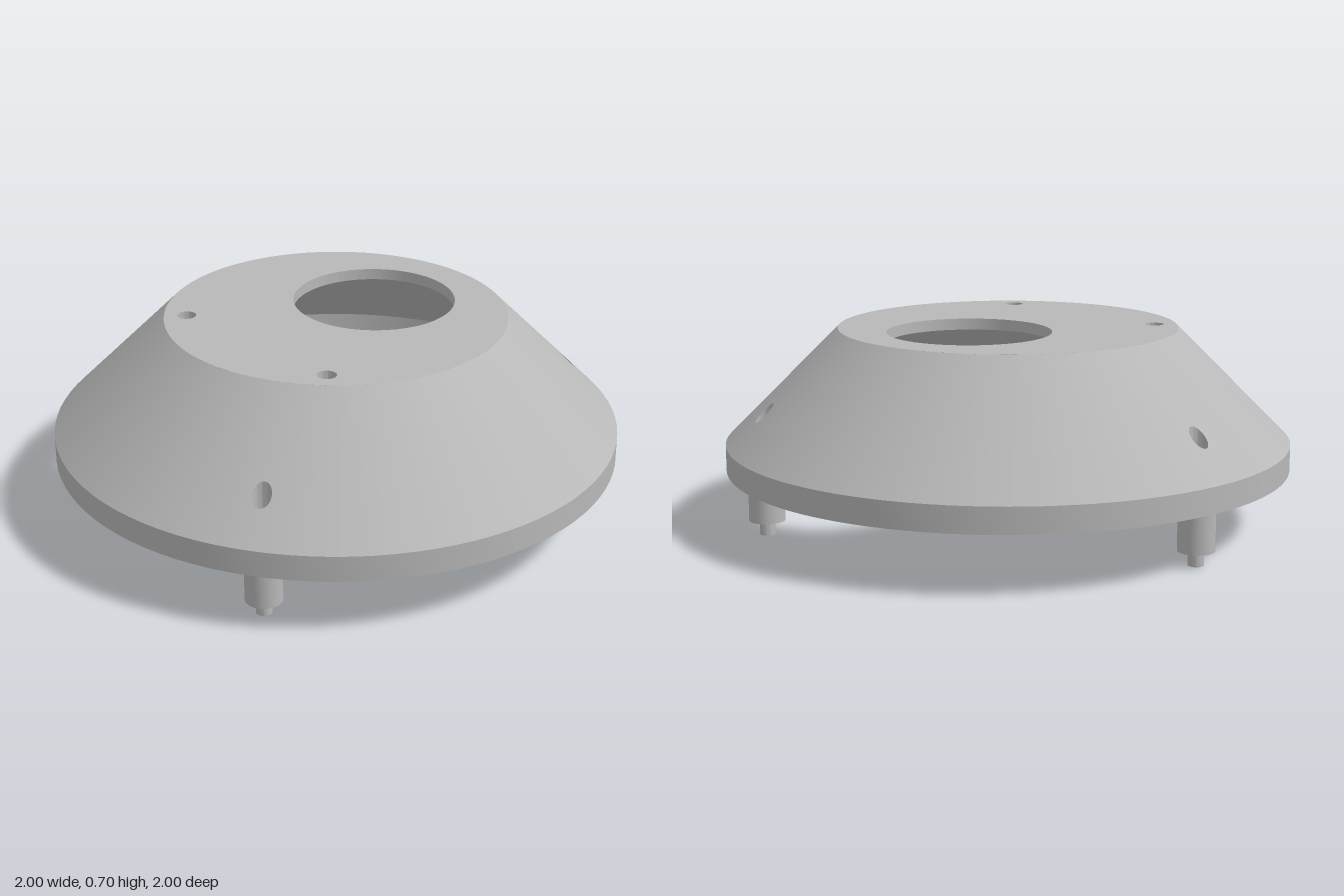
import * as THREE from 'three';
import { toCreasedNormals } from 'three/addons/utils/BufferGeometryUtils.js';

const SEG = 96, STEP = (Math.PI * 2) / SEG;
const POST_R = 0.87; // distance of the posts from the axis
const OUTER = 1.30, INNER = 1.26; // cone walls slope at 45 degrees: y = k - r

const lathe = (pts, seg = SEG, start = 0, length = Math.PI * 2) =>
  new THREE.LatheGeometry(pts.map(p => new THREE.Vector2(...p)), seg, start, length);

// Narrow slice of a cone wall around +z, pierced by a vertical round hole
function conePatch(r0, r1, k, holeR, faceOut) {
  const at = (r, t) => new THREE.Vector2(r * Math.sin(t), r * Math.cos(t));
  const shape = new THREE.Shape([
    at(r0, -STEP), at(r0, 0), at(r0, STEP), at(r1, STEP), at(r1, 0), at(r1, -STEP)]);
  shape.holes.push(new THREE.Path().absarc(0, POST_R, holeR, 0, Math.PI * 2, true));
  const geo = new THREE.ShapeGeometry(shape, 32);
  const pos = geo.attributes.position, nor = geo.attributes.normal;
  const s = (faceOut ? 1 : -1) * Math.SQRT1_2;
  for (let i = 0; i < pos.count; i++) {
    const x = pos.getX(i), z = pos.getY(i), r = Math.hypot(x, z);
    pos.setXYZ(i, x, k - r, z);
    nor.setXYZ(i, s * x / r, s, s * z / r);
  }
  if (faceOut) geo.index.array.reverse();
  return geo;
}

// Small turned part at the post position; its top end follows the cone slope
function turnedToSlope(pts, top, k) {
  const geo = lathe(pts, 32).translate(0, 0, POST_R);
  const pos = geo.attributes.position;
  for (let i = 0; i < pos.count; i++) {
    if (pos.getY(i) > top - 0.001) pos.setY(i, k - Math.hypot(pos.getX(i), pos.getZ(i)));
  }
  return toCreasedNormals(geo, 0.5);
}

export function createModel() {
  const model = new THREE.Group();
  model.name = 'conicalCover';
  const grey = new THREE.MeshStandardMaterial({ color: 0xb8b8b8 });
  grey.name = 'grey';
  const add = (parent, name, geo) => {
    const mesh = new THREE.Mesh(geo, grey);
    mesh.name = name;
    parent.add(mesh);
    return mesh;
  };

  // Upright band around the foot of the cone
  add(model, 'rimBand', toCreasedNormals(
    lathe([[0.97, 0.29], [0.97, 0.21], [1, 0.21], [1, 0.30]]), 0.5));

  // Flat top with one large offset opening and two screw holes
  const disc = new THREE.Shape().absarc(0, 0, 0.6, 0, Math.PI * 2);
  for (const [x, z, r] of [[0.19, 0, 0.287], [-0.385, 0.35, 0.033], [-0.385, -0.35, 0.033]]) {
    disc.holes.push(new THREE.Path().absarc(x, -z, r, 0, Math.PI * 2, true));
  }
  const plate = new THREE.ExtrudeGeometry(disc, { depth: 0.04, bevelEnabled: false, curveSegments: SEG });
  plate.rotateX(-Math.PI / 2).translate(0, 0.66, 0);
  add(model, 'topPlate', toCreasedNormals(plate, 0.5));

  // Three equal sectors: cone wall, pierced slice, post with pin, blind socket
  const arc = Math.PI * 2 / 3 - 2 * STEP, arcSeg = SEG / 3 - 2;
  const parts = {
    outerCone: lathe([[1, 0.30], [0.6, 0.70]], arcSeg, STEP, arc),
    innerCone: lathe([[0.6, 0.66], [0.97, 0.29]], arcSeg, STEP, arc),
    outerConeAtPost: conePatch(0.6, 1, OUTER, 0.032, true),
    innerConeAtPost: conePatch(0.6, 0.97, INNER, 0.05, false),
    post: turnedToSlope(
      [[0, 0], [0.027, 0], [0.027, 0.05], [0.063, 0.05], [0.063, 0.4]], 0.4, 1.28),
    socket: turnedToSlope([[0.032, 0.43], [0.032, 0.33], [0, 0.33]], 0.43, OUTER),
  };
  for (const angle of [Math.PI / 3, Math.PI, -Math.PI / 3]) {
    const sector = new THREE.Group();
    sector.name = 'sector';
    sector.rotation.y = angle;
    for (const [name, geo] of Object.entries(parts)) add(sector, name, geo);
    model.add(sector);
  }
  return model;
}
